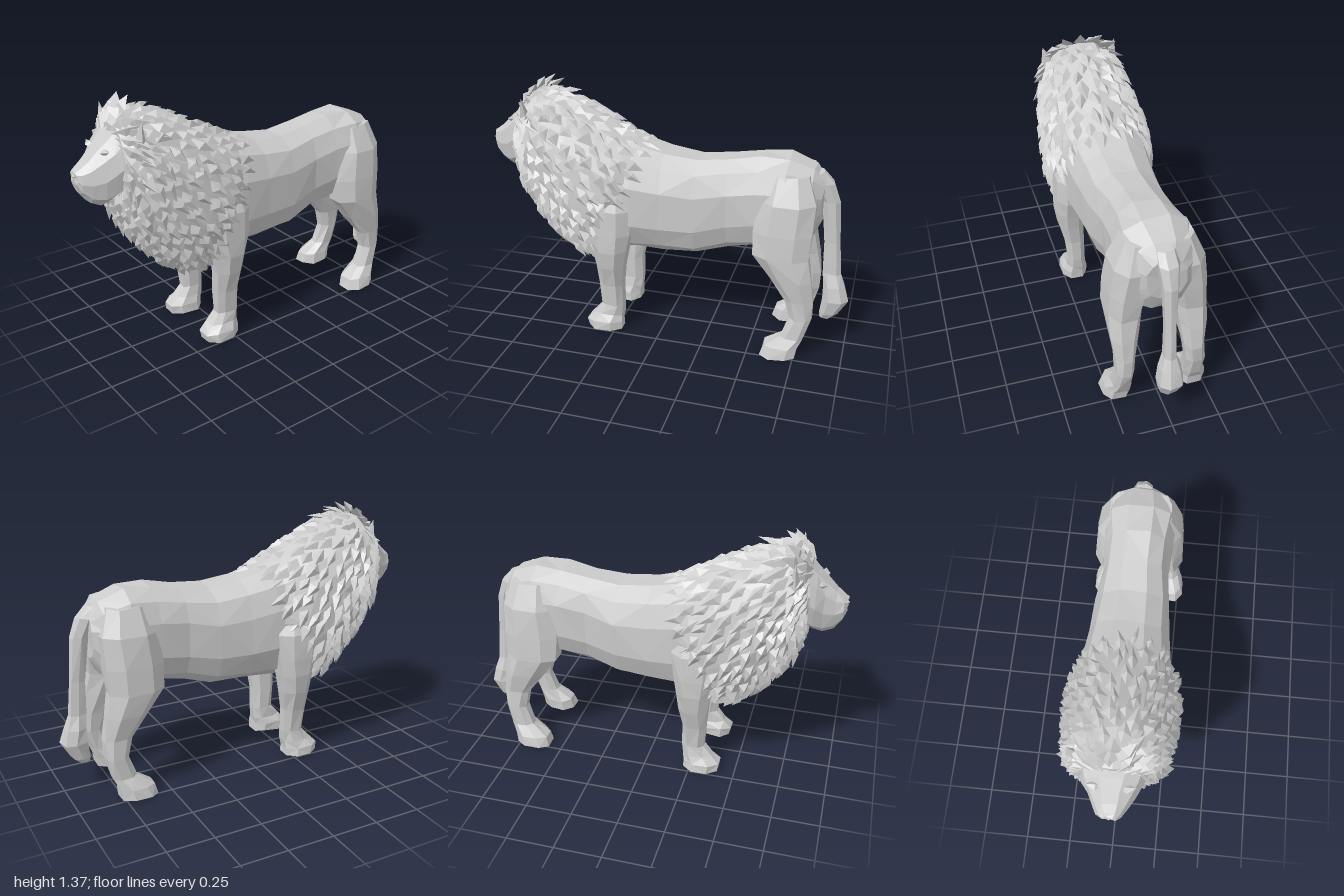
import * as THREE from 'three';

const V = (x, y, z) => new THREE.Vector3(x, y, z);
const material = new THREE.MeshStandardMaterial({ color: 0xcccccc, flatShading: true });

// Seeded random for hand-cut looking facets
let seed = 7;
const rnd = () => ((seed = (seed * 16807) % 2147483647) / 2147483647);
const wobble = (s) => (rnd() - 0.5) * 2 * s;
const soft = (v, p) => Math.sign(v) * Math.abs(v) ** p;

function meshFrom(positions, name) {
  const geo = new THREE.BufferGeometry();
  geo.setAttribute('position', new THREE.Float32BufferAttribute(positions, 3));
  geo.computeVertexNormals();
  const mesh = new THREE.Mesh(geo, material);
  mesh.name = name;
  return mesh;
}

// Skin a list of point rings, cap both ends, and turn the faces outward
function loft(name, rings, jitter = 0.005) {
  const tris = [];
  for (const ring of rings) for (const p of ring) {
    p.add(V(wobble(jitter), wobble(jitter), wobble(jitter)));
    p.y = Math.max(p.y, 0);
  }
  const n = rings[0].length;
  for (let i = 0; i + 1 < rings.length; i++) {
    for (let j = 0; j < n; j++) {
      const k = (j + 1) % n;
      const a = rings[i][j], b = rings[i][k], c = rings[i + 1][k], d = rings[i + 1][j];
      if ((i + j) % 2) tris.push([a, b, c], [a, c, d]);
      else tris.push([a, b, d], [b, c, d]);
    }
  }
  const middle = (ring) => ring.reduce((s, p) => s.add(p), V(0, 0, 0)).divideScalar(n);
  const first = rings[0], last = rings[rings.length - 1];
  const m0 = middle(first), m1 = middle(last);
  for (let j = 0; j < n; j++) {
    const k = (j + 1) % n;
    tris.push([m0, first[k], first[j]], [m1, last[j], last[k]]);
  }
  let volume = 0;
  for (const [a, b, c] of tris) volume += a.dot(b.clone().cross(c));
  const out = [];
  for (const [a, b, c] of tris) for (const p of volume < 0 ? [a, c, b] : [a, b, c]) out.push(p.x, p.y, p.z);
  return meshFrom(out, name);
}

// Upright rings across z: [z, top, bottom, halfWidth]
const crossRings = (rows, n, power = 0.8) => rows.map(([z, top, bottom, w]) =>
  Array.from({ length: n }, (_, j) => {
    const a = ((j + 0.5) / n) * Math.PI * 2;
    return V(w * soft(Math.sin(a), power), (top + bottom) / 2 + ((top - bottom) / 2) * soft(Math.cos(a), power), z);
  }));

// Level rings up a limb: [y, x, z, radiusX, radiusZ]
const limbRings = (rows, n, side = 1) => rows.map(([y, x, z, rx, rz]) =>
  Array.from({ length: n }, (_, j) => {
    const a = ((j + 0.5) / n) * Math.PI * 2;
    return V(side * (x + rx * soft(Math.cos(a), 0.85)), y, z + rz * soft(Math.sin(a), 0.85));
  }));

// Slanted mane rings: [topZ, topY, bottomZ, bottomY, halfWidth]
const maneRows = [
  [0.80, 1.25, 0.81, 0.91, 0.17], [0.74, 1.30, 0.77, 0.76, 0.22], [0.62, 1.29, 0.70, 0.63, 0.255],
  [0.48, 1.23, 0.60, 0.51, 0.28], [0.33, 1.16, 0.49, 0.42, 0.295], [0.18, 1.08, 0.41, 0.40, 0.285],
  [0.04, 1.02, 0.33, 0.48, 0.22],
];
function manePoint(t, a) {
  const i = Math.min(Math.max(Math.floor(t), 0), maneRows.length - 2), f = t - i;
  const [tz, ty, bz, by, w] = maneRows[i].map((v, k) => v + (maneRows[i + 1][k] - v) * f);
  const c = (1 + Math.cos(a)) / 2;
  return V(w * soft(Math.sin(a), 0.85), by + (ty - by) * c, bz + (tz - bz) * c);
}

// Ridged pointed locks laid over the mane, combed back and down
function maneLocks() {
  const out = [];
  const rows = 12, count = 26;
  for (let r = 0; r < rows; r++) {
    for (let j = 0; j < count; j++) {
      const t = Math.max(0.02, (r / (rows - 1)) * 5.2 + wobble(0.12));
      const a = ((j + (r % 2) / 2 + wobble(0.2)) / count) * Math.PI * 2;
      const p = manePoint(t, a);
      const back = manePoint(t + 0.05, a).sub(manePoint(t - 0.05, a)).normalize();
      const round = manePoint(t, a + 0.05).sub(manePoint(t, a - 0.05));
      const n = round.cross(back).normalize();
      if (n.dot(p.clone().sub(V(0, 0.85, 0.5))) < 0) n.negate();
      const f = back.add(V(wobble(0.2), -0.75 + wobble(0.2), 0));
      f.addScaledVector(n, -f.dot(n)).normalize();
      const s = n.clone().cross(f);
      const len = 0.13 + wobble(0.025), half = 0.034 + wobble(0.008);
      const at = (u, v, h) => p.clone().addScaledVector(f, u * len).addScaledVector(s, v).addScaledVector(n, h);
      const root = at(-0.25, 0, -0.015), left = at(0.3, half, -0.008), right = at(0.3, -half, -0.008);
      const ridge = at(0.35, wobble(0.008), 0.024 + wobble(0.006)), tip = at(0.85, wobble(0.015), 0.016 + wobble(0.008));
      for (const q of [root, ridge, left, root, right, ridge, ridge, tip, left, right, tip, ridge, left, tip, right])
        out.push(q.x, q.y, q.z);
    }
  }
  return meshFrom(out, 'maneLocks');
}

export function createModel() {
  seed = 7;
  const model = new THREE.Group();
  model.name = 'lion';

  // Torso from chest to rump
  model.add(loft('body', crossRings([
    [0.45, 1.10, 0.48, 0.22], [0.30, 1.09, 0.45, 0.25], [0.15, 1.07, 0.46, 0.24], [0, 1.03, 0.465, 0.22],
    [-0.18, 1.01, 0.47, 0.205], [-0.35, 1.035, 0.52, 0.18], [-0.5, 1.06, 0.55, 0.19],
    [-0.65, 1.065, 0.58, 0.205], [-0.78, 1.02, 0.62, 0.165], [-0.83, 0.95, 0.72, 0.10],
  ], 12)));

  // Head tapering to the muzzle
  const head = new THREE.Group();
  head.name = 'head';
  head.add(loft('skull', crossRings([
    [0.68, 1.25, 0.92, 0.17], [0.79, 1.245, 0.91, 0.165], [0.835, 1.195, 0.88, 0.145], [0.88, 1.145, 0.865, 0.115],
    [0.935, 1.095, 0.885, 0.085], [0.975, 1.065, 0.94, 0.062], [0.992, 1.05, 0.985, 0.04],
  ], 10), 0.004));
  const nose = new THREE.Mesh(new THREE.OctahedronGeometry(1), material);
  nose.name = 'nose';
  nose.scale.set(0.042, 0.028, 0.022);
  nose.position.set(0, 1.03, 0.978);
  head.add(nose);
  for (const side of [1, -1]) {
    const brow = new THREE.Mesh(new THREE.OctahedronGeometry(1), material);
    brow.name = 'brow';
    brow.scale.set(0.045, 0.018, 0.025);
    brow.position.set(side * 0.075, 1.14, 0.862);
    brow.rotation.z = side * 0.25;
    const ear = new THREE.Mesh(new THREE.ConeGeometry(0.05, 0.13, 5), material);
    ear.name = 'ear';
    ear.scale.z = 0.6;
    ear.position.set(side * 0.195, 1.235, 0.735);
    ear.rotation.z = -side * 0.25;
    head.add(brow, ear);
  }
  model.add(head);

  // Mane: solid core with locks on top
  const mane = new THREE.Group();
  mane.name = 'mane';
  const core = maneRows.map((_, i) => Array.from({ length: 18 }, (_, j) => manePoint(i, (j / 18) * Math.PI * 2)));
  mane.add(loft('maneCore', core, 0.008), maneLocks());
  model.add(mane);

  // Mirrored legs with paws
  for (const side of [1, -1]) {
    const label = side > 0 ? 'left' : 'right';
    model.add(loft(label + 'FrontLeg', limbRings([
      [0.86, 0.16, 0.27, 0.07, 0.10], [0.74, 0.19, 0.27, 0.095, 0.135], [0.6, 0.195, 0.27, 0.095, 0.125],
      [0.5, 0.2, 0.265, 0.085, 0.10], [0.4, 0.195, 0.265, 0.075, 0.08], [0.28, 0.18, 0.27, 0.06, 0.07],
      [0.15, 0.175, 0.265, 0.052, 0.065], [0.09, 0.175, 0.29, 0.06, 0.085], [0.05, 0.18, 0.315, 0.076, 0.105],
      [0.005, 0.18, 0.31, 0.078, 0.10],
    ], 8, side)));
    model.add(loft(label + 'HindLeg', limbRings([
      [0.99, 0.1, -0.66, 0.07, 0.11], [0.86, 0.125, -0.665, 0.11, 0.155], [0.7, 0.145, -0.65, 0.11, 0.16],
      [0.57, 0.165, -0.65, 0.095, 0.15], [0.45, 0.175, -0.705, 0.075, 0.115], [0.33, 0.18, -0.76, 0.055, 0.075],
      [0.23, 0.185, -0.772, 0.05, 0.062], [0.12, 0.19, -0.735, 0.052, 0.065], [0.06, 0.2, -0.68, 0.075, 0.095],
      [0.005, 0.205, -0.67, 0.083, 0.10],
    ], 8, side)));
  }

  // Hanging tail with a heavy tuft
  model.add(loft('tail', limbRings([
    [0.99, 0, -0.785, 0.05, 0.04], [0.93, 0, -0.83, 0.055, 0.05], [0.83, 0, -0.87, 0.042, 0.046],
    [0.6, 0, -0.892, 0.03, 0.042], [0.42, 0, -0.905, 0.034, 0.05], [0.35, 0, -0.92, 0.058, 0.06],
    [0.27, 0, -0.932, 0.068, 0.07], [0.18, 0, -0.90, 0.05, 0.05], [0.15, 0, -0.885, 0.03, 0.03],
  ], 7), 0.003));
  return model;
}
